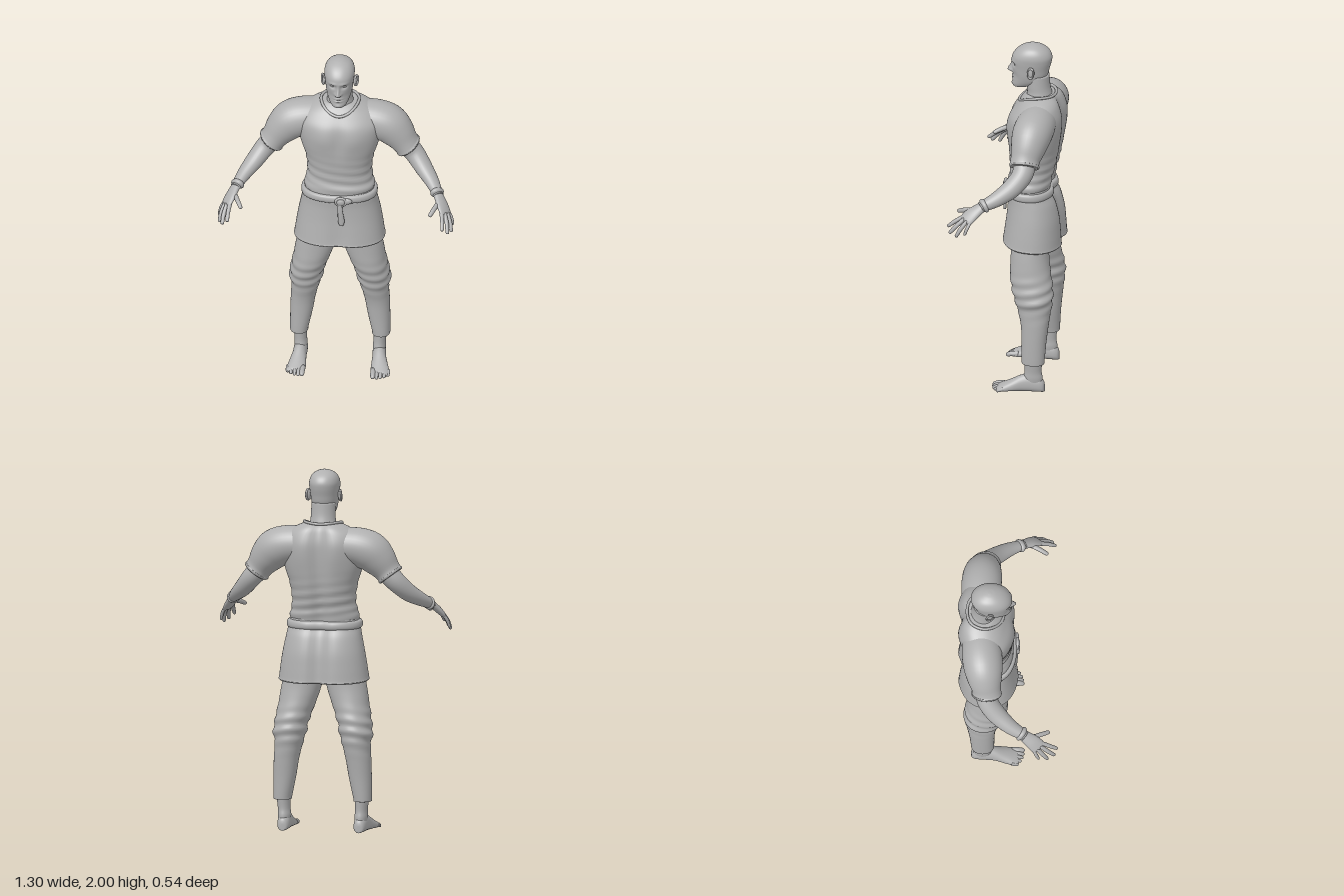
import * as THREE from 'three';

const grey = new THREE.MeshStandardMaterial({ color: 0xb0b0b0, side: THREE.DoubleSide });
grey.name = 'plain grey';

const bump = (d, w) => Math.exp(-(d * d) / (w * w));
const power = (v, n) => Math.sign(v) * Math.abs(v) ** (2 / n);

// Smoothly resamples rows of numbers with a Catmull-Rom rule
function resample(rows, steps) {
  const out = [];
  const last = rows.length - 1;
  for (let i = 0; i < last; i++) {
    const [a, b, c, d] = [rows[Math.max(i - 1, 0)], rows[i], rows[i + 1], rows[Math.min(i + 2, last)]];
    for (let k = 0; k < steps; k++) {
      const t = k / steps;
      out.push(b.map((v, j) => v + 0.5 * t * (c[j] - a[j]
        + t * (2 * a[j] - 5 * v + 4 * c[j] - d[j] + t * (3 * (v - c[j]) + d[j] - a[j])))));
    }
  }
  out.push(rows[last]);
  return out;
}

// Skins closed rings; place(row, cos, sin, index, rows) gives each point
function loft(rows, place, { steps = 5, sides = 40, capStart = true, capEnd = true } = {}) {
  const fine = resample(rows, steps);
  const pos = [], index = [];
  fine.forEach((row, i) => {
    for (let j = 0; j < sides; j++) {
      const a = (j / sides) * Math.PI * 2;
      pos.push(...place(row, Math.cos(a), Math.sin(a), i, fine));
    }
  });
  for (let i = 0; i < fine.length - 1; i++) {
    for (let j = 0; j < sides; j++) {
      const a = i * sides + j, b = i * sides + (j + 1) % sides;
      index.push(a, a + sides, b, b, a + sides, b + sides);
    }
  }
  const cap = (ring, flip) => {
    const mid = [0, 0, 0], centre = pos.length / 3;
    for (let j = 0; j < sides; j++) for (let k = 0; k < 3; k++) mid[k] += pos[(ring * sides + j) * 3 + k] / sides;
    pos.push(...mid);
    for (let j = 0; j < sides; j++) {
      const a = ring * sides + j, b = ring * sides + (j + 1) % sides;
      index.push(centre, flip ? b : a, flip ? a : b);
    }
  };
  if (capStart) cap(0, false);
  if (capEnd) cap(fine.length - 1, true);
  const geo = new THREE.BufferGeometry();
  geo.setAttribute('position', new THREE.Float32BufferAttribute(pos, 3));
  geo.setIndex(index);
  geo.computeVertexNormals();
  return geo;
}

// Upright body section: rows of [y, centre x, half width, front z, back z]
function upright(rows, n = 2, shape = p => p, opts) {
  return loft(rows, ([y, cx, hw, zf, zb], c, s) => shape([
    cx + hw * power(c, n), y, (zf + zb) / 2 + (zf - zb) / 2 * power(s, n)], c, s), opts);
}

// Limb along a path: rows of [x, y, z, radius along the side vector, other radius]
function limb(rows, side, opts) {
  const ref = new THREE.Vector3(...side);
  return loft(rows, (r, c, s, i, all) => {
    const p = all[Math.max(i - 1, 0)], q = all[Math.min(i + 1, all.length - 1)];
    const t = new THREE.Vector3(q[0] - p[0], q[1] - p[1], q[2] - p[2]).normalize();
    const a = ref.clone().addScaledVector(t, -t.dot(ref)).normalize();
    const b = a.clone().cross(t);
    return [r[0], r[1], r[2]].map((v, k) =>
      v + a.getComponent(k) * r[3] * c + b.getComponent(k) * r[4] * s);
  }, { steps: 4, sides: 24, ...opts });
}

// Rounded tapering finger or toe through three points
function digit(a, m, b, r) {
  const end = b.map((v, k) => v + (v - m[k]) / Math.hypot(...b.map((w, j) => w - m[j])) * r * 0.6);
  return limb([[...a, r, r], [...m, r, r * 0.95], [...b, r * 0.8, r * 0.8], [...end, r * 0.3, r * 0.3]],
    [0.4, 0.1, -0.9], { sides: 12 });
}

export function createModel() {
  const model = new THREE.Group();
  const add = (name, geo) => {
    const mesh = new THREE.Mesh(geo, grey);
    mesh.name = name;
    model.add(mesh);
  };
  const pair = (name, geo) => {
    add('left' + name, geo);
    const copy = geo.clone().scale(-1, 1, 1);
    const ix = copy.index.array;
    for (let i = 0; i < ix.length; i += 3) [ix[i], ix[i + 1]] = [ix[i + 1], ix[i]];
    copy.computeVertexNormals();
    add('right' + name, copy);
  };

  // Tunic body with chest, spine groove and soft folds at the waist
  add('tunic', upright([
    [1.16, 0, 0.188, 0.03, -0.212], [1.2, 0, 0.193, 0.034, -0.22], [1.235, 0, 0.181, 0.024, -0.225],
    [1.3, 0, 0.177, 0.024, -0.242], [1.38, 0, 0.19, 0.03, -0.258], [1.46, 0, 0.215, 0.035, -0.268],
    [1.54, 0, 0.232, 0.034, -0.274], [1.6, 0, 0.235, 0.02, -0.274], [1.65, 0, 0.205, -0.014, -0.264],
    [1.685, 0, 0.155, -0.045, -0.25], [1.71, 0, 0.1, -0.075, -0.225]], 2.25, ([x, y, z], c, s) => {
    const back = Math.max(-s, 0), front = Math.max(s, 0);
    z += back * (0.026 * bump(x, 0.045) - 0.008 * bump(Math.abs(x) - 0.1, 0.05) * bump(y - 1.55, 0.1));
    z += front * 0.008 * (bump(Math.abs(x) - 0.09, 0.06) * bump(y - 1.53, 0.07) - bump(x, 0.03) * bump(y - 1.52, 0.1));
    const fold = 0.004 * bump(y - 1.28, 0.09) * Math.sin(y * 110 + x * 14);
    return [x + c * fold, y, z + s * fold];
  }, { sides: 72 }));

  // Rolled collar
  const collar = new THREE.CatmullRomCurve3([[0, 1.662, -0.022], [0.055, 1.675, -0.042], [0.095, 1.702, -0.09],
    [0.104, 1.715, -0.145], [0.07, 1.715, -0.205], [0, 1.71, -0.225], [-0.07, 1.715, -0.205], [-0.104, 1.715, -0.145],
    [-0.095, 1.702, -0.09], [-0.055, 1.675, -0.042]].map(p => new THREE.Vector3(...p)), true);
  add('collar', new THREE.TubeGeometry(collar, 60, 0.008, 8, true));

  // Skirt of the tunic, hanging lower at the back
  add('skirt', upright([
    [0.836, 0, 0.246, 0.058, -0.274], [0.843, 0, 0.251, 0.062, -0.28], [0.855, 0, 0.248, 0.059, -0.278],
    [0.92, 0, 0.239, 0.05, -0.274], [1, 0, 0.226, 0.04, -0.266], [1.08, 0, 0.21, 0.034, -0.246],
    [1.13, 0, 0.2, 0.034, -0.222], [1.18, 0, 0.19, 0.03, -0.212]], 2.35, ([x, y, z], c, s) => {
    const low = THREE.MathUtils.clamp((1.13 - y) / 0.25, 0, 1);
    z += Math.max(-s, 0) * 0.03 * bump(x, 0.05) - Math.max(s, 0) * 0.012 * low * bump(x, 0.05);
    return [x, y + low * s * 0.01, z];
  }, { sides: 72, capStart: false }));

  // Belt, knot and hanging end
  add('belt', upright([[1.122, 0, 0.194, 0.03, -0.212], [1.13, 0, 0.207, 0.045, -0.228], [1.147, 0, 0.21, 0.05, -0.232],
    [1.165, 0, 0.205, 0.045, -0.226], [1.172, 0, 0.19, 0.03, -0.21]], 2.3,
    ([x, y, z], c, s) => [x, y + s * 0.004, z + Math.max(-s, 0) * 0.02 * bump(x, 0.045)], { sides: 64 }));
  add('beltKnot', new THREE.SphereGeometry(0.026, 20, 14).scale(1, 0.9, 0.6).translate(0.018, 1.148, 0.052));
  add('knotLoop', new THREE.TorusGeometry(0.025, 0.008, 10, 24).scale(1.1, 0.95, 1).translate(0.018, 1.148, 0.053));
  add('knotSide', new THREE.SphereGeometry(0.02, 16, 12).scale(1.5, 0.9, 0.6).translate(0.05, 1.152, 0.05));
  add('beltEnd', limb([[0.012, 1.14, 0.055, 0.012, 0.007], [0.015, 1.09, 0.058, 0.014, 0.008],
    [0.02, 1.03, 0.056, 0.018, 0.009], [0.021, 1.0, 0.056, 0.013, 0.008], [0.021, 0.995, 0.056, 0.005, 0.003]], [1, 0, 0]));

  // Sleeves with a rolled hem
  pair('Sleeve', limb([[0.08, 1.59, -0.15, 0.1, 0.095], [0.19, 1.583, -0.145, 0.11, 0.105], [0.265, 1.557, -0.138, 0.108, 0.11],
    [0.315, 1.51, -0.13, 0.096, 0.097], [0.352, 1.462, -0.122, 0.082, 0.078], [0.37, 1.437, -0.12, 0.081, 0.073],
    [0.376, 1.429, -0.12, 0.084, 0.077], [0.382, 1.421, -0.12, 0.078, 0.07], [0.376, 1.429, -0.12, 0.066, 0.06]],
    [0, 0, 1], { sides: 36, capEnd: false }));

  // Bare arms with a thin wrist cuff
  pair('Arm', limb([[0.33, 1.48, -0.12, 0.062, 0.058], [0.375, 1.425, -0.12, 0.062, 0.058], [0.415, 1.38, -0.11, 0.057, 0.054],
    [0.465, 1.325, -0.062, 0.053, 0.048], [0.515, 1.282, 0.005, 0.043, 0.038], [0.55, 1.252, 0.07, 0.033, 0.028],
    [0.56, 1.243, 0.088, 0.032, 0.026]], [0, 0, 1], { sides: 28 }));
  pair('WristCuff', limb([[0.543, 1.257, 0.058, 0.03, 0.024], [0.547, 1.254, 0.066, 0.041, 0.034],
    [0.552, 1.25, 0.075, 0.041, 0.034], [0.556, 1.246, 0.083, 0.03, 0.024]], [0, 0, 1]));

  // Hands
  const across = [0.45, -0.15, -0.85];
  pair('Palm', limb([[0.553, 1.249, 0.077, 0.03, 0.022], [0.568, 1.232, 0.103, 0.035, 0.02], [0.585, 1.208, 0.135, 0.042, 0.019],
    [0.602, 1.182, 0.162, 0.042, 0.015], [0.607, 1.174, 0.17, 0.034, 0.009]], across));
  [[[0.582, 1.194, 0.178], [0.59, 1.163, 0.226], [0.592, 1.134, 0.262], 0.0115],
    [[0.598, 1.186, 0.172], [0.614, 1.147, 0.214], [0.62, 1.108, 0.248], 0.012],
    [[0.611, 1.18, 0.155], [0.63, 1.138, 0.187], [0.638, 1.097, 0.21], 0.0115],
    [[0.617, 1.177, 0.136], [0.635, 1.145, 0.151], [0.643, 1.112, 0.163], 0.0095],
    [[0.565, 1.225, 0.122], [0.542, 1.214, 0.175], [0.522, 1.197, 0.217], 0.0135],
  ].forEach(([a, m, b, r], i) => pair(['Index', 'Middle', 'Ring', 'Little', 'Thumb'][i] + 'Finger', digit(a, m, b, r)));

  // Trousers with folds gathered around the knees
  pair('TrouserLeg', upright([[0.185, 0.225, 0.042, -0.09, -0.19], [0.172, 0.225, 0.049, -0.08, -0.201], [0.19, 0.225, 0.051, -0.077, -0.204],
    [0.3, 0.213, 0.062, -0.075, -0.212], [0.4, 0.203, 0.069, -0.068, -0.223], [0.49, 0.19, 0.078, -0.046, -0.235],
    [0.545, 0.187, 0.091, -0.03, -0.241], [0.6, 0.178, 0.092, -0.015, -0.24], [0.65, 0.166, 0.097, -0.004, -0.232],
    [0.7, 0.152, 0.101, 0, -0.222], [0.78, 0.132, 0.109, 0, -0.21], [0.86, 0.116, 0.11, 0, -0.205],
    [1, 0.1, 0.098, 0, -0.2]], 2.15, ([x, y, z], c, s) => {
    const fold = 0.005 * bump(y - 0.57, 0.09) * Math.sin(y * 95 + s * 2 + c);
    return [x + c * fold, y, z + s * fold];
  }, { sides: 48, capStart: false }));

  // Ankles and feet
  pair('Ankle', upright([[0.03, 0.216, 0.03, -0.085, -0.19], [0.08, 0.216, 0.036, -0.085, -0.192], [0.12, 0.218, 0.034, -0.092, -0.186],
    [0.18, 0.221, 0.037, -0.092, -0.19], [0.26, 0.222, 0.042, -0.09, -0.195]]));
  pair('Foot', loft([[-0.203, 0.215, 0.008, 0.04], [-0.196, 0.215, 0.024, 0.065], [-0.17, 0.215, 0.034, 0.088],
    [-0.12, 0.217, 0.037, 0.102], [-0.075, 0.22, 0.038, 0.092], [-0.02, 0.226, 0.046, 0.064],
    [0.025, 0.231, 0.051, 0.042], [0.05, 0.232, 0.046, 0.03], [0.058, 0.232, 0.038, 0.022]],
  ([z, cx, hw, top], c, s) => [cx + hw * power(c, 2.2) * (1 + 0.2 * s), top / 2 * (1 - power(s, 2.4)), z], { sides: 32 }));
  for (let i = 0; i < 5; i++) {
    const x = 0.194 + i * 0.0205, tip = 0.082 - 0.003 * i * i + 0.004 * i, r = i ? 0.0105 : 0.015;
    pair('Toe' + (i + 1), digit([x, 0.022, 0.02], [x + 0.001, 0.02, tip - 0.025], [x + 0.001, r * 0.85, tip], r));
  }

  // Neck and head with brow, eye sockets, nose, lips and chin
  add('neck', upright([[1.62, 0, 0.1, -0.06, -0.23], [1.68, 0, 0.083, -0.06, -0.212], [1.72, 0, 0.071, -0.066, -0.2],
    [1.76, 0, 0.068, -0.062, -0.192], [1.82, 0, 0.066, -0.06, -0.188]]));
  add('head', upright([[1.738, 0, 0.02, 0.002, -0.045], [1.745, 0, 0.036, 0.012, -0.07], [1.76, 0, 0.05, 0.017, -0.115],
    [1.785, 0, 0.063, 0.014, -0.16], [1.82, 0, 0.072, 0.014, -0.18], [1.86, 0, 0.077, 0.016, -0.19],
    [1.9, 0, 0.082, 0.02, -0.201], [1.93, 0, 0.083, 0.015, -0.203], [1.958, 0, 0.075, -0.004, -0.19],
    [1.98, 0, 0.058, -0.032, -0.165], [1.995, 0, 0.03, -0.066, -0.132], [2, 0, 0.006, -0.094, -0.106]], 2.15, ([x, y, z], c, s) => {
    if (s <= 0) return [x, y, z];
    const ax = Math.abs(x);
    const ridge = y < 1.834 ? bump(y - 1.834, 0.01) : bump(y - 1.834, 0.036);
    let d = 0.03 * bump(x, 0.008 + 0.006 * bump(y - 1.835, 0.015)) * ridge;
    d += 0.007 * bump(ax - 0.013, 0.008) * bump(y - 1.832, 0.008);
    d -= 0.014 * bump(ax - 0.032, 0.017) * bump(y - 1.879, 0.012);
    d += 0.005 * bump(ax - 0.03, 0.025) * bump(y - 1.901, 0.009);
    d += 0.007 * bump(x, 0.022) * (bump(y - 1.802, 0.006) + bump(y - 1.787, 0.007));
    d -= 0.005 * bump(x, 0.024) * bump(y - 1.795, 0.003);
    d -= 0.005 * bump(ax - 0.045, 0.02) * bump(y - 1.815, 0.025);
    d += 0.005 * bump(x, 0.02) * bump(y - 1.757, 0.013);
    return [x, y, z + d * Math.min(1, s * 2)];
  }, { sides: 128, steps: 9 }));
  pair('Eye', new THREE.SphereGeometry(0.011, 16, 12).scale(1.25, 0.6, 0.8).translate(0.032, 1.879, -0.006));
  pair('Ear', new THREE.SphereGeometry(0.03, 20, 14).scale(0.3, 1.05, 0.6).rotateY(-0.35).rotateX(-0.15).translate(0.086, 1.856, -0.1));
  pair('EarRim', new THREE.TorusGeometry(0.025, 0.006, 8, 24).rotateY(Math.PI / 2 - 0.35).scale(1, 1.15, 0.75).rotateX(-0.15).translate(0.091, 1.857, -0.101));

  return model;
}
